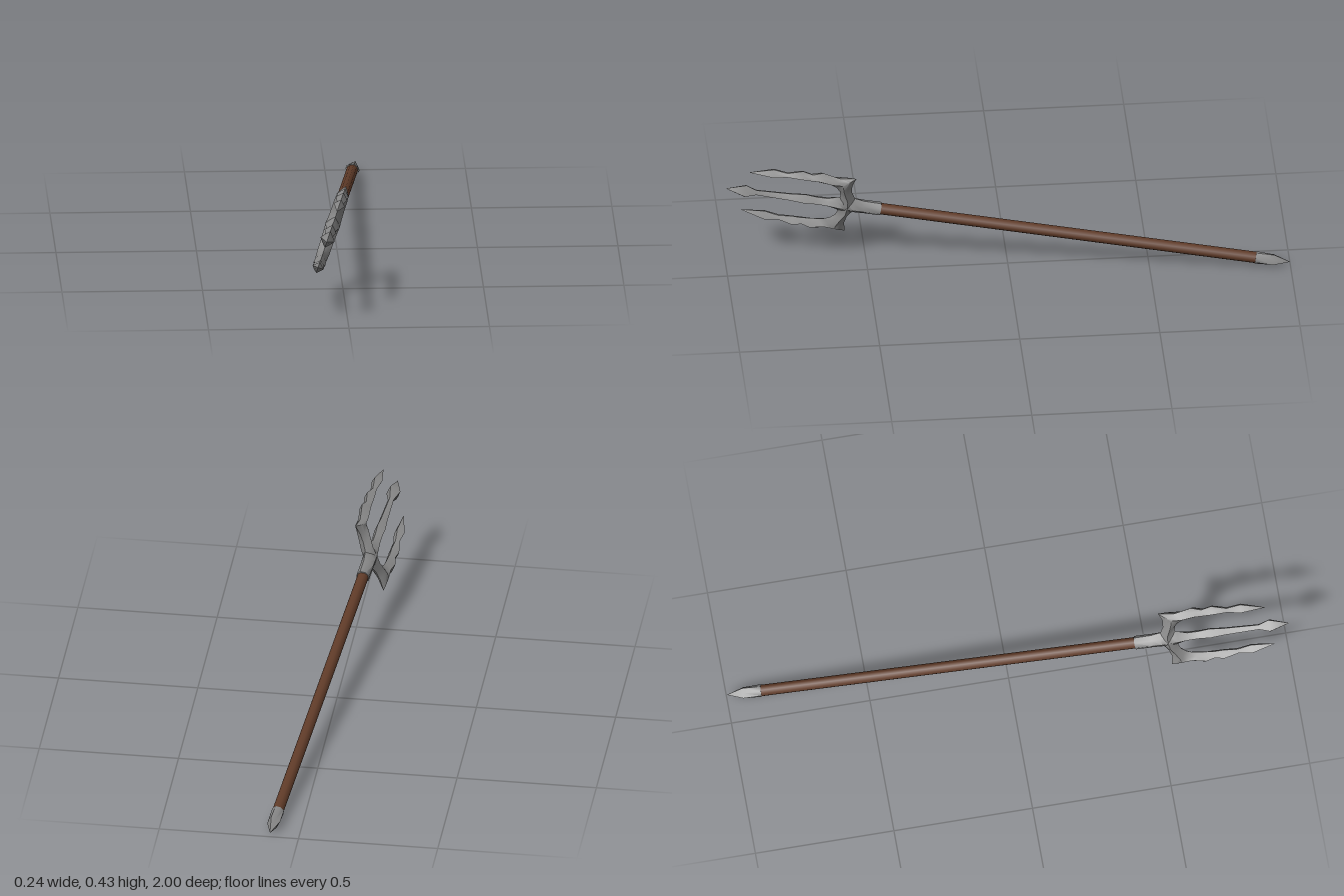
import * as THREE from 'three';
import { toCreasedNormals } from 'three/addons/utils/BufferGeometryUtils.js';

const metal = new THREE.MeshStandardMaterial({ color: 0x8a8a8a });
metal.name = 'steel grey';
const wood = new THREE.MeshStandardMaterial({ color: 0x613c29 });
wood.name = 'brown wood';

// Local frame: z along the weapon, y across the prongs, x through the thickness.
// Ring: [outer z, outer y, inner z, inner y, half thickness, roundness (0.5 diamond, 0.7 round)]
function loft(rings) {
  const pos = [], index = [];
  for (const [oz, oy, iz, iy, t, k = 0.52] of rings) {
    const mz = (oz + iz) / 2, my = (oy + iy) / 2;
    const ring = [[1, 0], [k, k], [0, 1], [-k, k], [-1, 0], [-k, -k], [0, -1], [k, -k]];
    for (const [c, s] of ring) pos.push(t * c, my + (oy - my) * s, mz + (oz - mz) * s);
  }
  for (let r = 0; r < rings.length - 1; r++) {
    for (let i = 0; i < 8; i++) {
      const a = r * 8 + i, b = r * 8 + (i + 1) % 8;
      index.push(a, b, b + 8, a, b + 8, a + 8);
    }
  }
  const g = new THREE.BufferGeometry();
  g.setAttribute('position', new THREE.Float32BufferAttribute(pos, 3));
  g.setIndex(index);
  return toCreasedNormals(g, 1.0);
}

// Ring centred on the weapon's axis
const ring = (z, h, t = h, k) => [z, h, z, -h, t, k];

export function createModel() {
  const model = new THREE.Group();
  model.name = 'trident';
  const add = (name, geometry, material) => {
    const mesh = new THREE.Mesh(geometry, material);
    mesh.name = name;
    model.add(mesh);
    return mesh;
  };

  // Shaft
  const shaft = new THREE.CylinderGeometry(0.021, 0.021, 1.37, 10);
  shaft.rotateX(Math.PI / 2).translate(0, 0, -0.215);
  add('shaft', shaft, wood);

  // Pointed butt cap
  add('buttCap', loft([
    ring(-1.015, 0), ring(-0.955, 0.026, 0.025, 0.52),
    ring(-0.89, 0.024, 0.024, 0.66), ring(-0.89, 0),
  ]), metal);

  // Socket, hub and centre prong
  add('socketAndCentreProng', loft([
    ring(0.458, 0), ring(0.458, 0.027, 0.025, 0.66), ring(0.52, 0.029, 0.026, 0.62),
    ring(0.555, 0.038, 0.027, 0.56), ring(0.59, 0.045, 0.026), ring(0.615, 0.034, 0.024),
    ring(0.65, 0.018, 0.02), ring(0.69, 0.018, 0.019), ring(0.73, 0.024, 0.022),
    ring(0.78, 0.017, 0.017), ring(0.905, 0.011, 0.012),
    ring(0.945, 0.031, 0.027), ring(1.015, 0),
  ]), metal);

  // Barbed outer prongs: arm, horn, two barbs, arrowhead
  const prong = loft([
    [0.535, 0, 0.62, 0, 0.026],
    [0.552, 0.03, 0.608, 0.043, 0.024],
    [0.57, 0.067, 0.614, 0.066, 0.023],
    [0.575, 0.105, 0.63, 0.085, 0.023],
    [0.566, 0.148, 0.65, 0.096, 0.021],
    [0.62, 0.136, 0.672, 0.101, 0.02],
    [0.685, 0.156, 0.70, 0.104, 0.022],
    [0.72, 0.138, 0.73, 0.108, 0.017],
    [0.758, 0.151, 0.758, 0.106, 0.021],
    [0.81, 0.128, 0.81, 0.112, 0.012],
    [0.86, 0.139, 0.86, 0.098, 0.021],
    [0.948, 0.106, 0.948, 0.106, 0],
  ]);
  add('upperProng', prong, metal);
  add('lowerProng', prong, metal).rotation.z = Math.PI;

  // Tilt the weapon into its resting pose
  const along = new THREE.Vector3(-0.0896, 0.15, 0.985).normalize();
  const through = new THREE.Vector3(0.326, 0.945, -0.114).cross(along).normalize();
  const across = along.clone().cross(through);
  model.quaternion.setFromRotationMatrix(new THREE.Matrix4().makeBasis(through, across, along));
  model.position.set(0.0115, 0.174, 0);

  const root = new THREE.Group();
  root.name = 'tridentRoot';
  root.add(model);
  return root;
}
